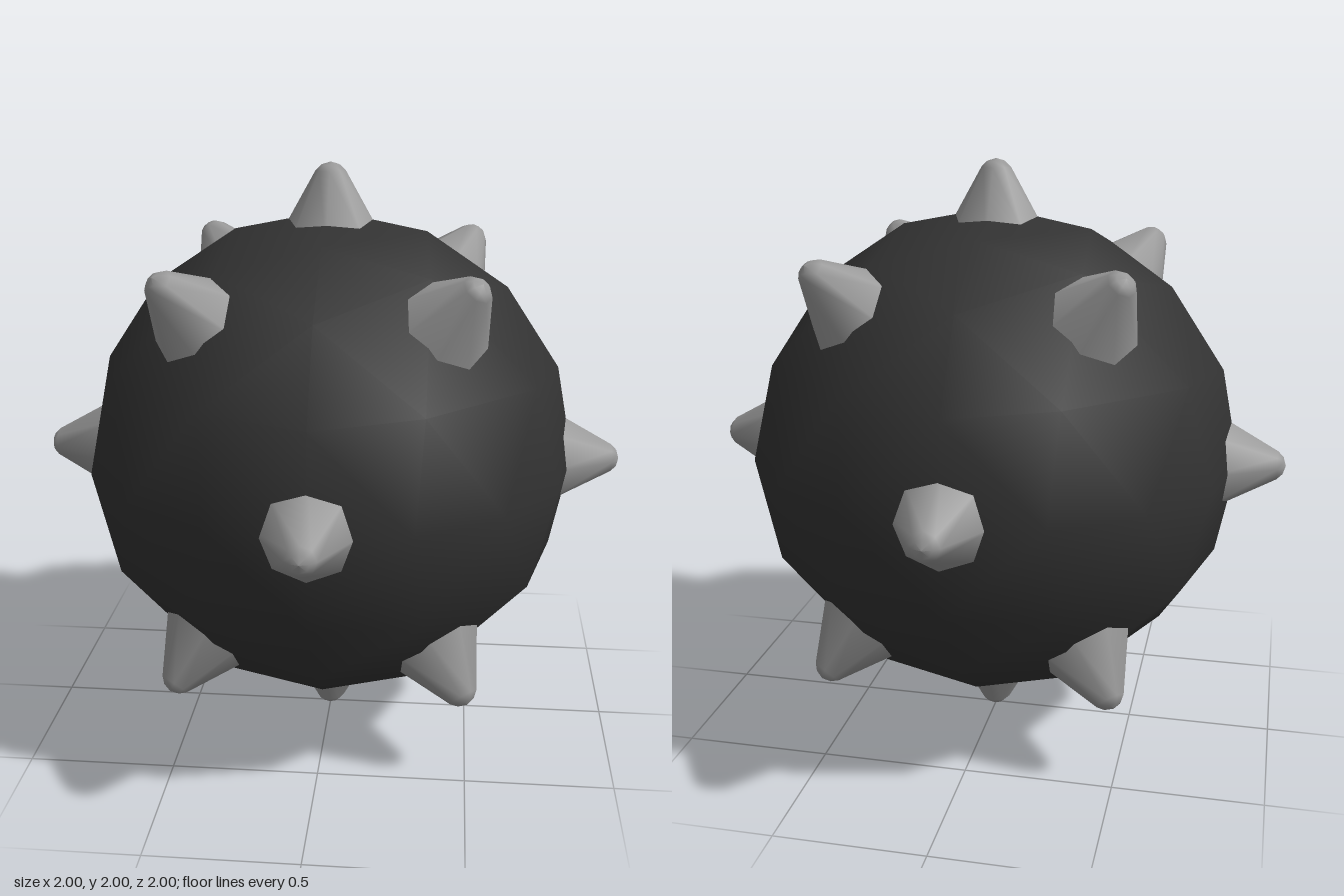
import * as THREE from 'three';

// Sphere made by repeatedly halving the edges of an octahedron
function octaSphere(radius, levels) {
  const source = new THREE.OctahedronGeometry(1, 0).toNonIndexed?.() ?? new THREE.OctahedronGeometry(1, 0);
  const corners = source.getAttribute('position');
  const points = [];
  const mid = (a, b) => a.clone().add(b).normalize();
  const split = (a, b, c, level) => {
    if (level === 0) {
      points.push(a, b, c);
      return;
    }
    const ab = mid(a, b), bc = mid(b, c), ca = mid(c, a);
    split(a, ab, ca, level - 1);
    split(ab, b, bc, level - 1);
    split(ca, bc, c, level - 1);
    split(ab, bc, ca, level - 1);
  };
  for (let i = 0; i < corners.count; i += 3) {
    const [a, b, c] = [0, 1, 2].map((k) => new THREE.Vector3().fromBufferAttribute(corners, i + k));
    split(a, b, c, levels);
  }
  const geometry = new THREE.BufferGeometry();
  geometry.setAttribute('normal', new THREE.Float32BufferAttribute(points.flatMap((p) => p.toArray()), 3));
  geometry.setAttribute('position', new THREE.Float32BufferAttribute(
    points.flatMap((p) => p.clone().multiplyScalar(radius).toArray()), 3));
  return geometry;
}

export function createModel() {
  const model = new THREE.Group();
  model.name = 'spikedBall';

  const shellDark = new THREE.MeshStandardMaterial({ color: 0x333333 });
  shellDark.name = 'shellDark';
  const spikeGrey = new THREE.MeshStandardMaterial({ color: 0x999999 });
  spikeGrey.name = 'spikeGrey';

  // Everything turns around the ball's centre
  const ball = new THREE.Group();
  ball.name = 'ball';
  ball.position.y = 1;
  model.add(ball);

  const shell = new THREE.Mesh(octaSphere(0.84, 2), shellDark);
  shell.name = 'shell';
  ball.add(shell);

  // Eight-sided spike with a blunt tip, rooted inside the shell
  const profile = [[0.175, 0.75], [0.05, 0.972], [0.03, 0.991], [0, 1]];
  const spikeGeometry = new THREE.LatheGeometry(profile.map(([r, y]) => new THREE.Vector2(r, y)), 8);

  const addSpike = (name, tilt, turn) => {
    const spike = new THREE.Mesh(spikeGeometry, spikeGrey);
    spike.name = name;
    spike.rotation.set(tilt, turn, 0, 'YXZ');
    ball.add(spike);
  };

  addSpike('topSpike', 0, 0);
  addSpike('bottomSpike', Math.PI, 0);
  for (let i = 0; i < 4; i++) {
    const turn = i * Math.PI / 2;
    addSpike('sideSpike', Math.PI / 2, turn);
    addSpike('upperSpike', Math.PI / 4, turn + Math.PI / 4);
    addSpike('lowerSpike', 3 * Math.PI / 4, turn + Math.PI / 4);
  }

  return model;
}
